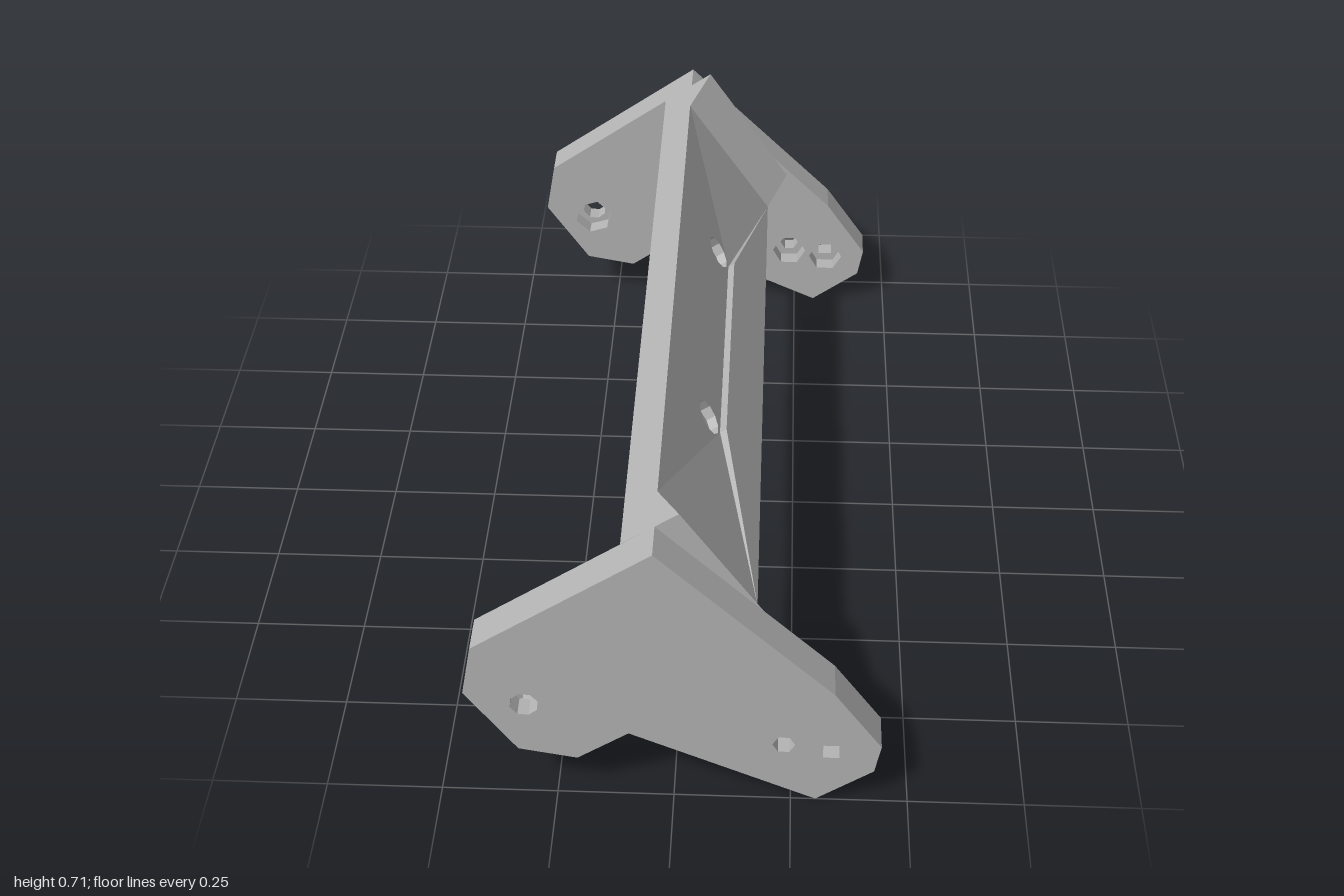
import * as THREE from 'three';

const V2 = (p) => new THREE.Vector2(p[0], p[1]);

// Regular polygon hole
function polyHole(cx, cy, r, sides, turn = 0) {
  const pts = [];
  for (let i = 0; i < sides; i++) {
    const a = turn + (i / sides) * Math.PI * 2;
    pts.push(new THREE.Vector2(cx + r * Math.cos(a), cy + r * Math.sin(a)));
  }
  return new THREE.Path(pts);
}

// Prism from an outline with holes, spanning from..to along its axis
function prism(points, holes, from, to) {
  const shape = new THREE.Shape(points.map(V2));
  shape.holes = holes;
  const geo = new THREE.ExtrudeGeometry(shape, { depth: to - from, bevelEnabled: false });
  return geo.translate(0, 0, from);
}

export function createModel() {
  const model = new THREE.Group();
  model.name = 'bracket';
  const grey = new THREE.MeshStandardMaterial({ color: 0xb4b4b4 });
  grey.name = 'grey';

  const add = (name, geo, parent = model) => {
    const mesh = new THREE.Mesh(geo, grey);
    mesh.name = name;
    parent.add(mesh);
    return mesh;
  };

  // End plates: small holes outside, larger nut pockets inside
  const outline = [
    [-0.04, 0.675], [-0.418, 0.41], [-0.44, 0.284], [-0.33, 0.126], [-0.205, 0.103],
    [-0.095, 0.18], [0.303, 0], [0.425, 0.088], [0.438, 0.16], [0.335, 0.308],
  ];
  const inner = 0.912, mid = 0.955, outer = 1;
  const boltHoles = () => [
    polyHole(-0.313, 0.256, 0.031, 8, 0.3),
    polyHole(0.232, 0.16, 0.024, 6),
    polyHole(0.333, 0.143, 0.025, 4, Math.PI / 4),
  ];
  const nutPockets = () => [
    polyHole(-0.313, 0.256, 0.05, 6, 0.3),
    polyHole(0.232, 0.16, 0.045, 6),
    polyHole(0.333, 0.143, 0.045, 6),
  ];
  for (const s of [1, -1]) {
    const plate = new THREE.Group();
    plate.name = s > 0 ? 'frontPlate' : 'rearPlate';
    const span = (a, b) => (s > 0 ? [a, b] : [-b, -a]);
    add('plateOuterLayer', prism(outline, boltHoles(), ...span(mid, outer)), plate);
    add('plateInnerLayer', prism(outline, nutPockets(), ...span(inner, mid)), plate);
    model.add(plate);
  }

  // Tilted beam frame: u runs down the face, n points out of it
  const L = 0.37, back = -0.085, seat = -0.04;
  const n = new THREE.Vector3(0.824, 0.567, 0).normalize();
  const u = new THREE.Vector3(n.y, -n.x, 0);
  const z = new THREE.Vector3(0, 0, 1);
  const place = (geo, a, b, c) =>
    geo.applyMatrix4(new THREE.Matrix4().makeBasis(a, b, c).setPosition(-0.04, 0.675, 0));
  const beam = new THREE.Group();
  beam.name = 'crossBeam';
  model.add(beam);

  // Rear slab with through holes
  const holeZ = 0.34, holeU = 0.18;
  const pair = (r, sides) => [1, -1].map((s) => polyHole(s * holeZ, holeU, r, sides));
  const slab = prism([[-inner, 0], [inner, 0], [inner, L], [-inner, L]], pair(0.022, 8), back, seat);
  add('beamSlab', place(slab, z, u, n), beam);

  // Front skin: the upper area dips toward a thin ledge
  const flatZ = 0.8, ledgeZ = 0.34, ledgeU = 0.229, dip = 0.018;
  const skin = (name, pts, holes, depthAt) => {
    const geo = prism(pts, holes, seat, 0);
    const p = geo.attributes.position;
    for (let i = 0; i < p.count; i++) {
      if (p.getZ(i) > -1e-4) p.setZ(i, -depthAt(p.getX(i), p.getY(i)));
    }
    geo.computeVertexNormals();
    add(name, place(geo, z, u, n), beam);
  };
  skin('upperFace',
    [[-flatZ, 0], [flatZ, 0], [ledgeZ, ledgeU], [-ledgeZ, ledgeU]],
    pair(0.042, 10), (a, b) => (dip * b) / ledgeU);
  for (const s of [1, -1]) {
    skin('sideFace', [[s * flatZ, 0], [s * flatZ, L], [s * ledgeZ, ledgeU]], [],
      (a) => (dip * (flatZ - Math.abs(a))) / (flatZ - ledgeZ));
  }
  skin('lowerFace', [[-flatZ, L], [flatZ, L], [ledgeZ, ledgeU], [-ledgeZ, ledgeU]], [], () => 0);

  // Flared ramps where the beam meets the plates
  for (const s of [1, -1]) {
    const ramp = prism(
      [[seat, s * flatZ], [seat, s * inner], [0.06, s * inner], [0, s * flatZ]], [], 0, L);
    add('endRamp', place(ramp, n, z, u), beam);
  }
  return model;
}
